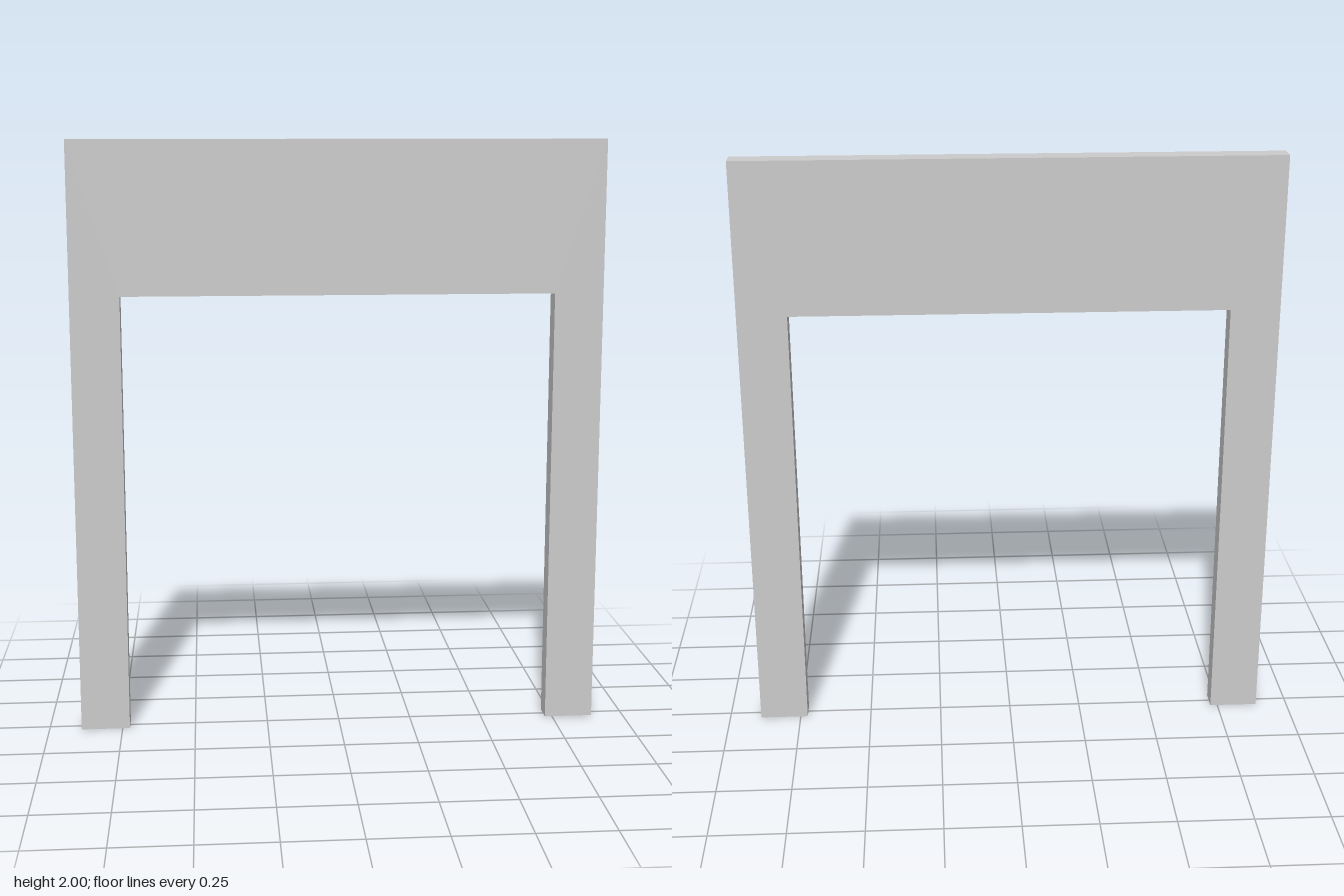
import * as THREE from 'three';

export function createModel() {
  const group = new THREE.Group();
  group.name = 'doorwayWall';

  const halfWidth = 0.89, height = 2, depth = 0.07;
  const halfOpening = 0.725, openingHeight = 1.49;

  // Wall outline with a doorway open to the ground
  const outline = new THREE.Shape([
    [-halfWidth, 0], [-halfOpening, 0],
    [-halfOpening, openingHeight], [halfOpening, openingHeight],
    [halfOpening, 0], [halfWidth, 0],
    [halfWidth, height], [-halfWidth, height],
  ].map(([x, y]) => new THREE.Vector2(x, y)));

  // Straight extrusion, centred on z
  const geometry = new THREE.ExtrudeGeometry(outline, { depth, bevelEnabled: false });
  geometry.translate(0, 0, -depth / 2);

  const frame = new THREE.Mesh(
    geometry,
    new THREE.MeshStandardMaterial({ color: 0xcccccc, flatShading: true }),
  );
  frame.name = 'doorFrame';
  group.add(frame);
  return group;
}
